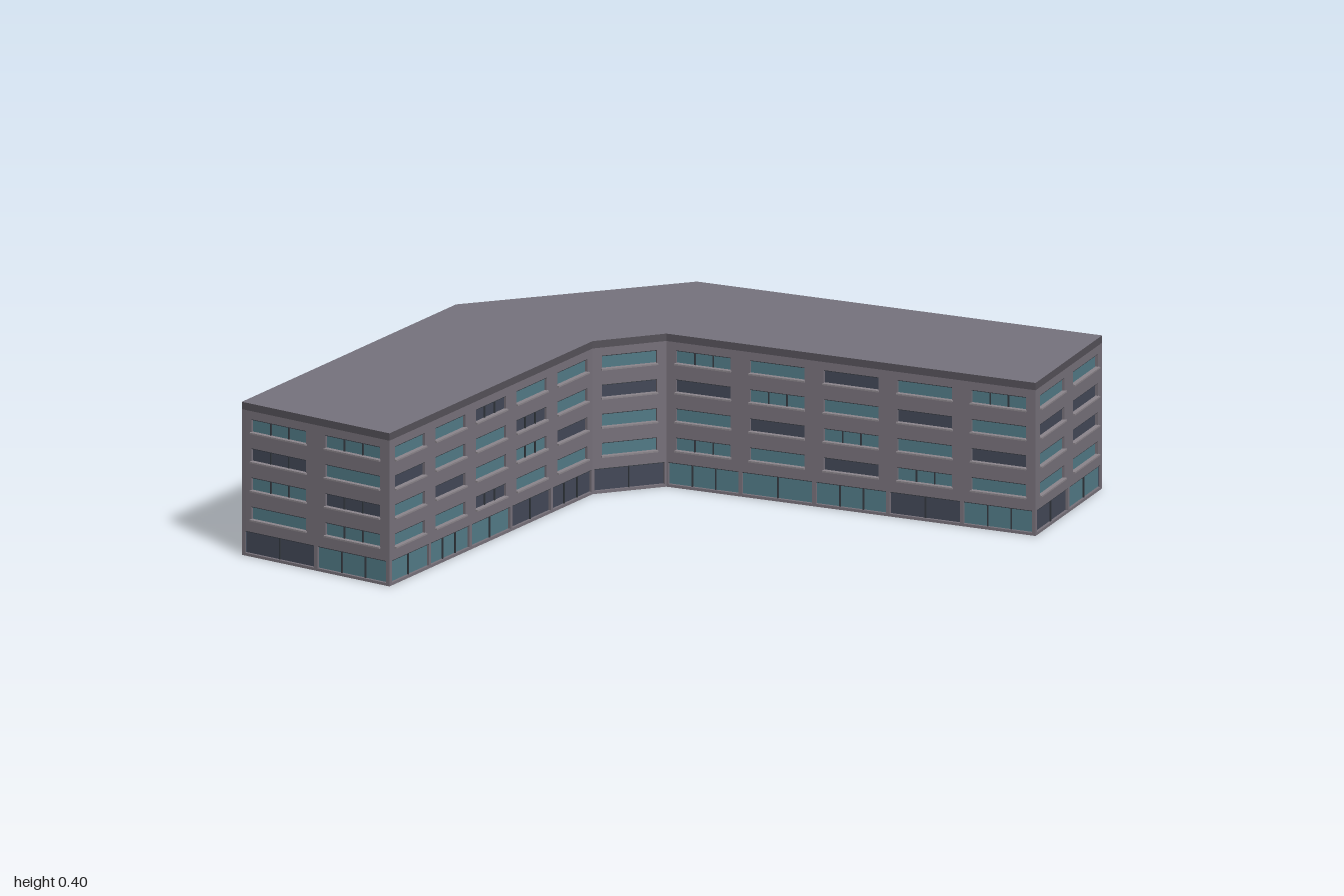
import * as THREE from 'three';
import { mergeGeometries } from 'three/addons/utils/BufferGeometryUtils.js';

const mat = (name, color, side = THREE.FrontSide) => {
  const m = new THREE.MeshStandardMaterial({ color, side });
  m.name = name;
  return m;
};

const HEIGHT = 0.395, WALL_TOP = 0.376, DEPTH = 0.01;
const ROW_BOTTOMS = [0.321, 0.246, 0.171, 0.096];
const WINDOW_HEIGHT = 0.034;

// Footprint corners (x, z), left to right as each facade is seen from outside
const CORNERS = [
  [-0.855, 0.04], [-0.03, -0.24], [0.15, -0.18], [0.65, 0.665],
  [1, 0.465], [0.45, -0.46], [-0.13, -0.668], [-1, -0.372],
];

// One string per floor, top to ground; t = teal, d = dark, capital = with mullions,
// c = bay filled by the tall glass wall
const FACADES = [
  ['frontLeftWing', ['ttDtt', 'dttDt', 'tdtTd', 'ttDtt', 'tTtdD']],
  ['innerCorner', ['t', 'd', 't', 't', 'd']],
  ['innerRightWing', ['TtdtT', 'dTtdt', 'tdTtd', 'TtdTt', 'TtTdT']],
  ['rightEnd', ['tt', 'dd', 'td', 'tt', 'dt']],
  ['outerRightWing', ['ttDTttt', 'dtTtdDt', 'tdttTtd', 'ttDTdtt', 'dTtdTtD']],
  ['backCorner', ['TtdT', 'dTtt', 'tdTt', 'TtDt', 'TTtT']],
  ['backLeftWing', ['cttDtt', 'cdttTd', 'ctdtdt', 'cttDtt', 'cTtdtT']],
  ['leftEnd', ['TT', 'Dt', 'TD', 'tT', 'dT']],
];

export function createModel() {
  const wall = mat('wall grey', 0x77717a, THREE.DoubleSide);
  const roofMat = mat('roof grey', 0x76737d);
  const band = mat('cornice grey', 0x555159);
  const sill = mat('sill grey', 0x8b858b);
  const frame = mat('frame dark', 0x33383f);
  const teal = mat('teal glass', 0x527a86);
  const dark = mat('dark glass', 0x434857);
  const inner = mat('inner glass', 0x4d586a);

  const model = new THREE.Group();
  model.name = 'building';

  const box = (w, h, d, x, y, z) => new THREE.BoxGeometry(w, h, d).translate(x, y, z);

  function buildFacade(name, rows, p, q) {
    const dx = q[0] - p[0], dz = q[1] - p[1];
    const length = Math.hypot(dx, dz), bays = rows[0].length, bay = length / bays;
    const group = new THREE.Group();
    group.name = name;
    group.position.set(p[0], 0, p[1]);
    group.rotation.y = Math.atan2(-dz, dx);

    const shape = new THREE.Shape([[0, 0], [length, 0], [length, WALL_TOP], [0, WALL_TOP]]
      .map(([x, y]) => new THREE.Vector2(x, y)));
    const parts = { tealPanes: [], darkPanes: [], innerPanes: [], frames: [], sills: [] };

    // Opening in the wall with recessed glass
    function opening(cx, y, w, h, key, mullions) {
      const x0 = cx - w / 2, x1 = cx + w / 2;
      shape.holes.push(new THREE.Path([[x0, y], [x0, y + h], [x1, y + h], [x1, y]]
        .map(([a, b]) => new THREE.Vector2(a, b))));
      parts[key].push(new THREE.PlaneGeometry(w, h).translate(cx, y + h / 2, -0.007));
      parts.innerPanes.push(new THREE.PlaneGeometry(w, h).rotateY(Math.PI)
        .translate(cx, y + h / 2, -0.009));
      parts.frames.push(box(w, 0.002, 0.006, cx, y + h - 0.001, -0.004));
      for (let i = 1; i <= mullions; i++) {
        parts.frames.push(box(0.003, h, 0.004, x0 + (w * i) / (mullions + 1), y + h / 2, -0.005));
      }
    }

    for (let c = 0; c < bays; c++) {
      const cx = (c + 0.5) * bay;
      // Tall glass wall through all floors
      if (rows[0][c] === 'c') {
        const w = bay * 0.9;
        opening(cx, 0.008, w, 0.348, 'tealPanes', 4);
        for (let y = 0.035; y < 0.35; y += 0.0268) {
          parts.frames.push(box(w, 0.002, 0.004, cx, y, -0.005));
        }
        continue;
      }
      rows.forEach((row, r) => {
        const code = row[c], key = code.toLowerCase() === 't' ? 'tealPanes' : 'darkPanes';
        const mullions = code === code.toUpperCase() ? 2 : 0;
        if (r === 4) {
          // Shop glazing on the ground floor
          opening(cx, 0.007, bay * 0.95, 0.057, key, mullions || 1);
        } else {
          const w = bay * 0.74;
          opening(cx, ROW_BOTTOMS[r], w, WINDOW_HEIGHT, key, mullions);
          parts.sills.push(box(w + 0.004, 0.004, 0.012, cx, ROW_BOTTOMS[r] - 0.001, 0));
        }
      });
    }

    const geometry = new THREE.ExtrudeGeometry(shape, { depth: DEPTH, bevelEnabled: false });
    const wallMesh = new THREE.Mesh(geometry.translate(0, 0, -DEPTH), wall);
    wallMesh.name = 'wall';
    group.add(wallMesh);

    const materials = { tealPanes: teal, darkPanes: dark, innerPanes: inner, frames: frame, sills: sill };
    for (const [key, list] of Object.entries(parts)) {
      if (!list.length) continue;
      const mesh = new THREE.Mesh(mergeGeometries(list), materials[key]);
      mesh.name = key;
      group.add(mesh);
    }
    model.add(group);
  }

  FACADES.forEach(([name, rows], i) =>
    buildFacade(name, rows, CORNERS[i], CORNERS[(i + 1) % CORNERS.length]));

  // Flat roof slab with a darker cornice edge
  const outline = new THREE.Shape(CORNERS.map(([x, z]) => new THREE.Vector2(x, -z)));
  const slab = new THREE.ExtrudeGeometry(outline, { depth: HEIGHT - WALL_TOP, bevelEnabled: false });
  slab.rotateX(-Math.PI / 2).translate(0, WALL_TOP, 0);
  const roof = new THREE.Mesh(slab, [roofMat, band]);
  roof.name = 'roof';
  model.add(roof);

  // Round glass stair tube on the back corner
  const tube = new THREE.Group();
  tube.name = 'stairTube';
  tube.position.set(0.03, 0, -0.612);
  const glass = new THREE.Mesh(new THREE.CylinderGeometry(0.021, 0.021, 0.345, 20).translate(0, 0.1825, 0), teal);
  glass.name = 'tubeGlass';
  const rings = [];
  for (let i = 0; i <= 14; i++) {
    rings.push(new THREE.CylinderGeometry(0.0225, 0.0225, 0.002, 20).translate(0, 0.011 + i * 0.0245, 0));
  }
  const ringMesh = new THREE.Mesh(mergeGeometries(rings), frame);
  ringMesh.name = 'tubeRings';
  tube.add(glass, ringMesh);
  model.add(tube);

  return model;
}
